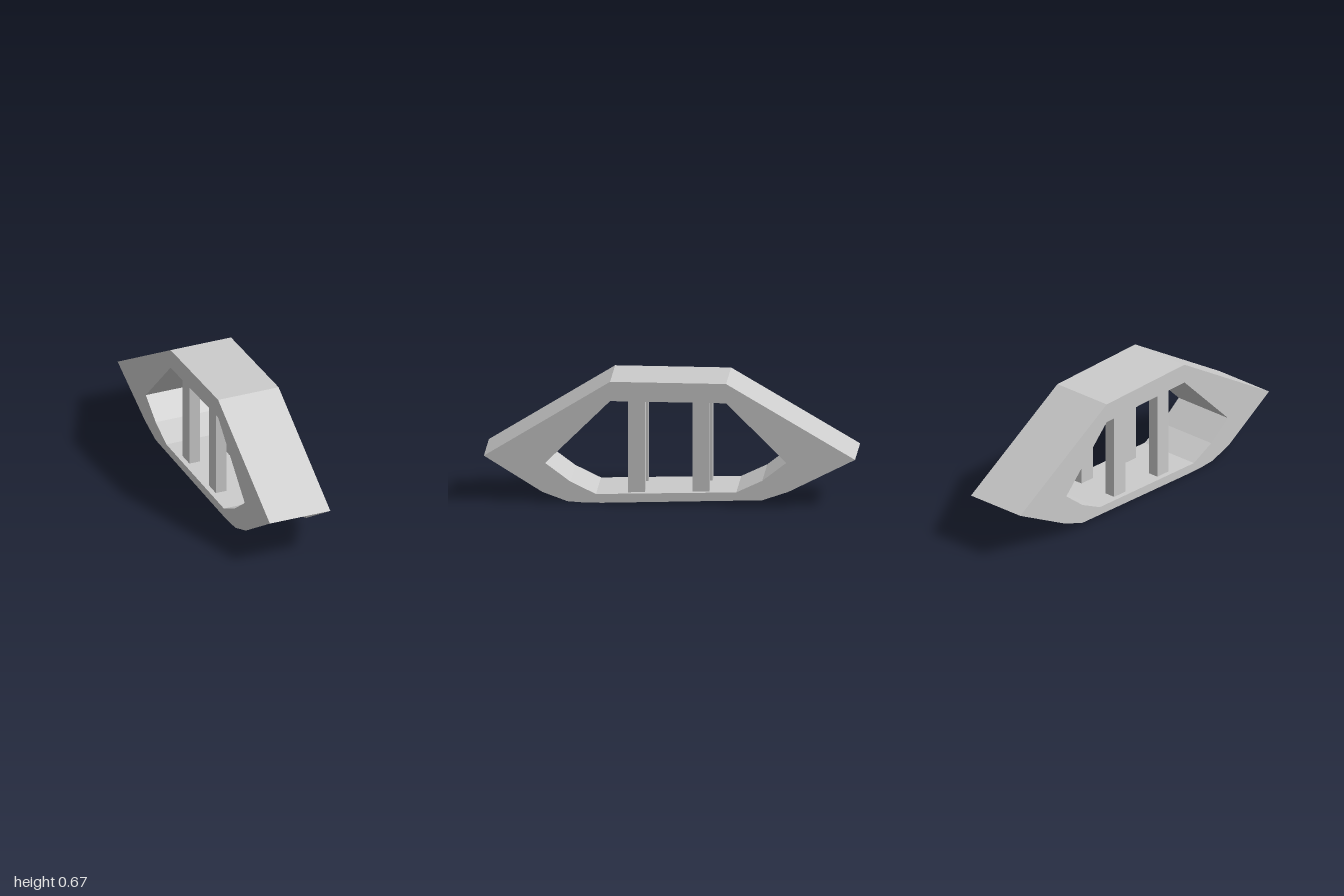
import * as THREE from 'three';

const HALF_WIDTH = 0.178;

// Side profiles as [z, y]
const roofLine = [[1, 0.254], [0.32, 0.677], [-0.305, 0.677], [-1, 0.27]];
const keelLine = [[-0.64, 0.085], [-0.5, 0.036], [0.36, 0.005], [0.45, 0.004], [0.55, 0.01], [0.685, 0.059]];
const opening = [
  [0.67, 0.22], [0.535, 0.12], [0.396, 0.053], [-0.36, 0.077],
  [-0.5, 0.144], [-0.63, 0.246], [-0.305, 0.57], [0.32, 0.57],
];

const material = new THREE.MeshStandardMaterial({
  color: 0xcccccc, flatShading: true, side: THREE.DoubleSide,
});

function addMesh(group, name, geometry) {
  const mesh = new THREE.Mesh(geometry, material);
  mesh.name = name;
  group.add(mesh);
  return mesh;
}

// Flat panels swept across the full width along a profile
function strip(points) {
  const pos = [];
  for (let i = 0; i < points.length - 1; i++) {
    const [z0, y0] = points[i];
    const [z1, y1] = points[i + 1];
    const a = [HALF_WIDTH, y0, z0], b = [-HALF_WIDTH, y0, z0];
    const c = [HALF_WIDTH, y1, z1], d = [-HALF_WIDTH, y1, z1];
    pos.push(...a, ...c, ...b, ...b, ...c, ...d);
  }
  const geometry = new THREE.BufferGeometry();
  geometry.setAttribute('position', new THREE.Float32BufferAttribute(pos, 3));
  geometry.computeVertexNormals();
  return geometry;
}

export function createModel() {
  const model = new THREE.Group();
  model.name = 'frame';
  const toVectors = (list) => list.map(([z, y]) => new THREE.Vector2(z, y));

  // Side walls with the large opening
  const wall = new THREE.Shape(toVectors([...roofLine, ...keelLine]));
  wall.holes.push(new THREE.Path(toVectors(opening)));
  for (const [name, x] of [['leftWall', HALF_WIDTH], ['rightWall', -HALF_WIDTH]]) {
    const geometry = new THREE.ShapeGeometry(wall);
    geometry.rotateY(-Math.PI / 2);
    addMesh(model, name, geometry).position.x = x;
  }

  // Outer roof panels; the underside stays open
  addMesh(model, 'roof', strip(roofLine));

  // Inner lining all around the opening
  addMesh(model, 'openingLining', strip([...opening, opening[0]]));

  // Four pillars between floor and ceiling
  for (const [row, z, bottom] of [['front', 0.18, 0.055], ['back', -0.167, 0.065]]) {
    for (const side of [1, -1]) {
      const height = 0.572 - bottom;
      const pillar = addMesh(model, row + (side > 0 ? 'Left' : 'Right') + 'Pillar',
        new THREE.BoxGeometry(0.062, height, 0.091));
      pillar.position.set(side * 0.118, bottom + height / 2, z);
    }
  }
  return model;
}
